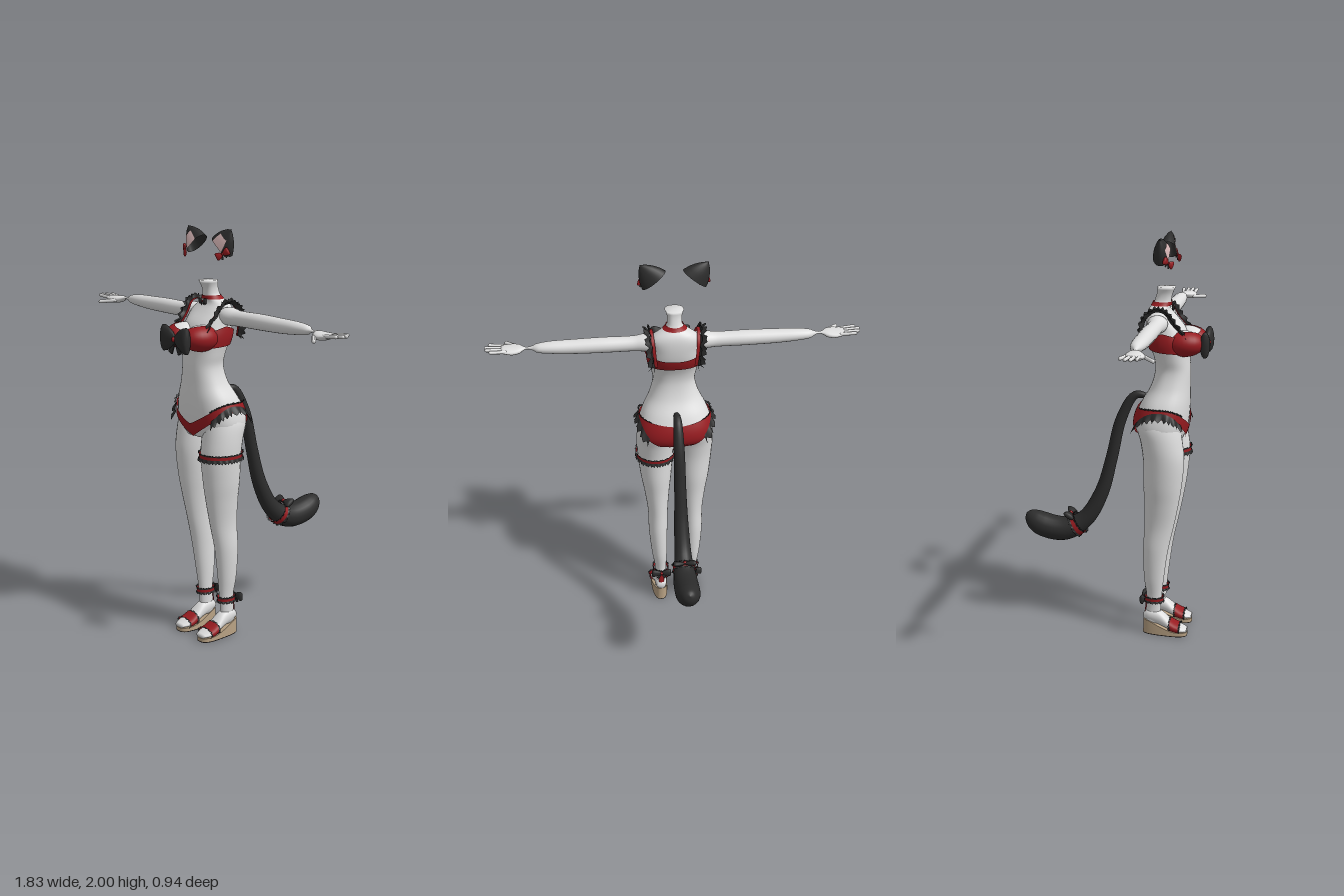
import * as THREE from 'three';
import { mergeVertices, toCreasedNormals } from 'three/addons/utils/BufferGeometryUtils.js';

const V = (x, y, z) => new THREE.Vector3(x, y, z);
const TAU = Math.PI * 2;

// Surface from a rule f(u, v), both 0..1; front is along du x dv
function patch(f, n, m) {
  const pos = [], idx = [];
  for (let j = 0; j <= m; j++) for (let i = 0; i <= n; i++) pos.push(...f(i / n, j / m).toArray());
  for (let j = 0; j < m; j++) for (let i = 0; i < n; i++) {
    const a = j * (n + 1) + i, b = a + 1, c = a + n + 1, d = c + 1;
    idx.push(a, b, d, a, d, c);
  }
  let g = new THREE.BufferGeometry();
  g.setAttribute('position', new THREE.Float32BufferAttribute(pos, 3));
  g.setIndex(idx);
  g = mergeVertices(g, 1e-5);
  g.computeVertexNormals();
  return g;
}

// Smooth interpolation of rows keyed by their first column
function at(rows, y) {
  let i = 0;
  while (i < rows.length - 2 && y > rows[i + 1][0]) i++;
  const p = rows[i], q = rows[i + 1], o = rows[i - 1] ?? p, r = rows[i + 2] ?? q;
  const h = q[0] - p[0], t = THREE.MathUtils.clamp((y - p[0]) / h, 0, 1), t2 = t * t, t3 = t2 * t;
  return p.map((_, k) => {
    const m0 = (q[k] - o[k]) / (q[0] - o[0]) * h, m1 = (r[k] - p[k]) / (r[0] - p[0]) * h;
    return p[k] * (2 * t3 - 3 * t2 + 1) + m0 * (t3 - 2 * t2 + t) + q[k] * (3 * t2 - 2 * t3) + m1 * (t3 - t2);
  });
}

// Point on a limb with rows [y, centreX, halfWidth, zBack, zFront]; angle 0 is the front
const bend = (s, e) => Math.sign(s) * Math.abs(s) ** e;
function surf(rows, a, y, off = 0, e = 1, scale = 1) {
  const [, cx, rx, zb, zf] = at(rows, y);
  return V(cx + scale * (rx + off) * bend(Math.sin(a), e), y,
    (zb + zf) / 2 + scale * ((zf - zb) / 2 + off) * bend(Math.cos(a), e));
}
function loft(rows, e = 1, n = 28, m = 42) {
  const y0 = rows[0][0], y1 = rows.at(-1)[0];
  return patch((u, v) => {
    const t = THREE.MathUtils.clamp((v * m - 1) / (m - 2), 0, 1);
    return surf(rows, u * TAU, y0 + (y1 - y0) * t, 0, e, v === 0 || v === 1 ? 0 : 1);
  }, n, m);
}
const band = (rows, lo, hi, off, e = 1) =>
  patch((u, v) => surf(rows, u * TAU, lo + (hi - lo) * v, off, e), 36, 2);

// Wavy strip along pt(t), growing along dir(t) and rippling along nrm(t)
const frill = (pt, dir, nrm, width, waves, amp) => patch((u, v) => {
  const w = Math.sin(u * TAU * waves);
  return pt(u).addScaledVector(dir(u), width * v * (0.85 + 0.2 * Math.cos(2 * u * TAU * waves)))
    .addScaledVector(nrm(u), amp * v * w);
}, waves * 8, 2);
const ringFrill = (rows, y, off, up, width, waves) => frill(t => surf(rows, t * TAU, y, off),
  t => V(0.25 * Math.sin(t * TAU), up, 0.25 * Math.cos(t * TAU)),
  t => V(Math.sin(t * TAU), 0, Math.cos(t * TAU)), width, waves, 0.003);

const TORSO = [[1.02, 0, .14, .17, .34], [1.06, 0, .183, .115, .355], [1.12, 0, .188, .105, .365], [1.2, 0, .165, .135, .37],
  [1.28, 0, .125, .18, .37], [1.36, 0, .105, .2, .37], [1.42, 0, .115, .195, .365], [1.5, 0, .13, .165, .36],
  [1.56, 0, .125, .155, .34], [1.62, 0, .122, .155, .29], [1.655, 0, .085, .165, .265], [1.68, 0, .043, .185, .27],
  [1.72, 0, .035, .2, .275], [1.745, 0, .04, .205, .285], [1.76, 0, .046, .205, .292]];
const LEG = [[.06, .083, .03, .17, .25], [.12, .083, .026, .175, .25], [.2, .083, .03, .178, .255], [.3, .088, .04, .165, .265],
  [.45, .093, .049, .16, .285], [.58, .092, .053, .165, .312], [.7, .095, .066, .165, .335], [.8, .098, .08, .16, .35],
  [.93, .1, .092, .158, .36], [1.02, .1, .096, .145, .35], [1.1, .1, .09, .125, .335], [1.16, .095, .07, .15, .32]];
const ARM = [[.09, 0, .035, .185, .27], [.13, 0, .043, .177, .275], [.2, .003, .037, .187, .265], [.35, .002, .037, .185, .265],
  [.5, .002, .034, .187, .263], [.6, 0, .029, .19, .26], [.665, 0, .021, .2, .25], [.685, 0, .011, .215, .242],
  [.7, 0, .006, .222, .237], [.725, 0, .007, .22, .24], [.745, .006, .016, .205, .27], [.78, .01, .019, .196, .287],
  [.815, .007, .014, .197, .28], [.835, .004, .009, .2, .275]];
const FOOT = [[.165, .083, .02, -.11, -.075], [.19, .083, .03, -.13, -.065], [.25, .084, .035, -.12, -.045],
  [.31, .086, .043, -.07, -.025], [.35, .086, .045, -.052, -.02], [.385, .086, .03, -.038, -.02]];
const LOBE = [[0, 0, .16, -.08, .08], [.4, 0, .42, -.2, .2], [.85, 0, .56, -.24, .24], [1, 0, .48, -.14, .14]];
const TAIL = new THREE.CatmullRomCurve3([[1.215, .17], [1.22, .1], [1.1, .03], [.89, -.02], [.71, -.07], [.56, -.155],
  [.497, -.26], [.51, -.38], [.565, -.468]].map(([y, z]) => V(0, y, z)));
const TAIL_R = [[0, .012], [.12, .02], [.25, .027], [.4, .031], [.5, .036], [.63, .045], [.75, .06], [.87, .063],
  [.93, .055], [.97, .038], [.99, .021], [1, 0]];

export function createModel() {
  const mat = (name, color, side = THREE.DoubleSide) => new THREE.MeshStandardMaterial({ name, color, side });
  const skin = mat('pale skin', 0xdedede, THREE.FrontSide), black = mat('black cloth', 0x2c2c2c);
  const red = mat('red cloth', 0x971b20), pink = mat('inner ear pink', 0xd9b8b8);
  const tan = mat('tan wedge', 0xb9a284), sole = mat('dark sole', 0x2e2622);
  const root = new THREE.Group();
  root.name = 'figure';
  const add = (parent, name, geo, m) => {
    const mesh = new THREE.Mesh(geo, m);
    mesh.name = name;
    parent.add(mesh);
    return mesh;
  };
  const bow = (parent, name, x, y, z, size, { tall = 1, tails = true, knot = .16, cloth = black } = {}) => {
    const g = new THREE.Group();
    g.name = name;
    g.position.set(x, y, z);
    for (const s of [1, -1]) {
      const lobe = add(g, 'bowLobe', loft(LOBE, 1, 14, 14), cloth);
      lobe.rotation.z = -s * Math.PI / 2;
      lobe.scale.set(size * tall, size, size);
      if (!tails) continue;
      const end = add(g, 'bowTail', new THREE.BoxGeometry(size * .28, size * .6, size * .06), black);
      end.position.set(s * size * .25, -size * .4, 0);
      end.rotation.z = s * .4;
    }
    add(g, 'bowKnot', new THREE.SphereGeometry(size * knot, 12, 8), red).position.z = size * .07;
    parent.add(g);
    return g;
  };

  // Torso, choker
  add(root, 'torso', loft(TORSO, .85, 40, 64), skin);
  add(root, 'choker', band(TORSO, 1.672, 1.69, .006), red);
  bow(root, 'chokerBow', 0, 1.663, .283, .026);

  // Bikini top
  add(root, 'topBand', patch((u, v) => {
    const c = Math.cos(u * TAU), lo = 1.452 + .015 * (1 - c) / 2, hi = c > 0 ? 1.555 - .035 * c : 1.555 + .035 * c;
    return surf(TORSO, u * TAU, lo + (hi - lo) * v, .008, .85);
  }, 48, 4), red);
  bow(root, 'chestBow', 0, 1.498, .447, .1, { tall: 1.15, knot: .12 });

  // Bikini bottom, cut high at the hips
  const hipEdge = (a, k) => {
    const s = Math.abs(Math.sin(a)), front = Math.cos(a) > 0;
    const hi = front ? 1.085 + .105 * s : 1.17 + .02 * s, lo = 1.02 + .13 * s ** (front ? 1 : 1.5);
    return lo + (hi - lo) * k;
  };
  add(root, 'bikiniBottom', patch((u, v) => surf(TORSO, u * TAU, hipEdge(u * TAU, v), .008, .85), 80, 8), red);
  const out = a => V(Math.sin(a), 0, Math.cos(a));

  for (const s of [1, -1]) {
    const half = new THREE.Group();
    half.name = s > 0 ? 'leftSide' : 'rightSide';
    half.scale.x = s;
    root.add(half);

    // Hip frills: a wide one over the side and a narrow trim on the upper edge
    const hipA = t => .7 + t * 1.75;
    const hipPt = (t, k) => surf(TORSO, hipA(t), hipEdge(hipA(t), k), .011, .85);
    add(half, 'hipFrill', frill(t => hipPt(t, .1 + .65 * Math.sin(hipA(t)) ** 4),
      t => out(hipA(t)).multiplyScalar(.5).add(V(0, -.85, 0)), t => out(hipA(t)), .045, 6, .007), black);
    add(half, 'hipTrim', frill(t => hipPt(t, 1),
      t => out(hipA(t)).multiplyScalar(.4).add(V(0, .7, 0)), t => out(hipA(t)), .014, 10, .004), black);

    // Bust and cup, the cup opening up and inward
    add(half, 'bust', new THREE.SphereGeometry(1, 24, 18).scale(.068, .06, .086).translate(.066, 1.503, .345), skin);
    const open = new THREE.Quaternion().setFromUnitVectors(V(0, 1, 0), V(-.42, .88, -.1).normalize());
    add(half, 'cup', new THREE.SphereGeometry(1, 28, 18, 0, TAU, .8, Math.PI - .8).applyQuaternion(open)
      .scale(.077, .064, .096).translate(.066, 1.502, .347), red);

    // Shoulder strap: narrow red edge inside, black frills outside
    const strap = new THREE.CatmullRomCurve3([[.105, 1.54, .345], [.113, 1.6, .29], [.122, 1.648, .255], [.122, 1.655, .215],
      [.118, 1.62, .172], [.112, 1.56, .156], [.105, 1.5, .158]].map(p => V(...p)));
    const away = t => { const p = strap.getPoint(t); return V(0, p.y - 1.57, p.z - .23).normalize(); };
    add(half, 'strap', patch((u, v) => strap.getPoint(u).add(V((v - 1) * .016, 0, 0)).addScaledVector(away(u), .005), 30, 1), red);
    for (const [x, lean, w] of [[0, .15, .032], [.002, .8, .036]]) add(half, 'strapFrill',
      frill(t => strap.getPoint(t).add(V(x, 0, 0)), t => away(t).multiplyScalar(1 - lean * .5).add(V(lean, 0, 0)),
        () => V(1, 0, 0), w, 8, .006), black);

    // Arm with palm, fingers and thumb
    const arm = add(half, 'arm', loft(ARM, 1, 24, 60), skin);
    arm.rotation.z = -Math.PI / 2;
    arm.position.y = 1.6;
    const digit = (name, a, b, r) => {
      const d = b.clone().sub(a), m = add(half, name, new THREE.CapsuleGeometry(r, d.length(), 4, 10), skin);
      m.position.copy(a).addScaledVector(d, .5);
      m.quaternion.setFromUnitVectors(V(0, 1, 0), d.normalize());
    };
    [.885, .905, .908, .89].forEach((x, i) =>
      digit('finger', V(.815, 1.596, .208 + i * .02), V(x, 1.602, .2 + i * .024), .0085));
    digit('thumb', V(.755, 1.587, .272), V(.812, 1.58, .325), .0095);

    // Leg, foot and ankle cuff
    add(half, 'leg', loft(LEG, 1, 28, 60), skin);
    const foot = add(half, 'foot', loft(FOOT, .9, 24, 30), skin);
    foot.rotation.x = Math.PI / 2;
    add(half, 'ankleCuff', band(LEG, .177, .195, .01), red);
    add(half, 'cuffFrillTop', ringFrill(LEG, .193, .011, 1, .012, 12), black);
    add(half, 'cuffFrillBottom', ringFrill(LEG, .18, .011, -1, .012, 12), black);
    bow(half, 'ankleBow', .083, .19, .16, .052, { tall: .8 }).rotation.y = Math.PI;

    // Wedge sandal
    const top = z => at([[.16, .078], [.2, .07], [.27, .04], [.32, .024], [.39, .02]], z)[1];
    const slab = (lo, hi, grow) => toCreasedNormals(patch((u, v) => {
      const a = u * TAU, k = [0, 1, 1, 0][Math.round(v * 3)], c = bend(Math.cos(a), .7);
      const z = .275 + (.113 + grow) * c * k;
      return V(.085 + (.043 + .007 * c + grow) * bend(Math.sin(a), .7) * k, v < .5 ? lo : hi(z), z);
    }, 36, 3), .6);
    add(half, 'sole', slab(0, () => .004, 0), sole);
    add(half, 'wedge', slab(.004, top, 0), tan);
    const toe = add(half, 'toeStrap', band(FOOT, .302, .348, .006, .9), red);
    toe.rotation.x = Math.PI / 2;
    for (const [z, k] of [[.304, -1], [.346, 1]]) {
      const trim = add(half, 'toeFrill', ringFrill(FOOT, z, .007, k, .009, 12), black);
      trim.rotation.x = Math.PI / 2;
    }
    add(half, 'heelStrap', patch((u, v) => surf(LEG, Math.PI + (u - .5) * .9, .07 + .11 * v, .005), 6, 6), red);

    // Cat ear: curved black shell with a narrow pink front, and a red bow
    const ear = new THREE.Group();
    ear.name = 'ear';
    ear.position.set(.097, 1.922, .24);
    ear.rotation.z = -.67;
    ear.scale.z = .6;
    half.add(ear);
    const profile = [[.071, 0], [.06, .03], [.044, .058], [.023, .084], [0, .104]].map(p => new THREE.Vector2(...p));
    add(ear, 'earBack', new THREE.LatheGeometry(profile, 22, .6, TAU - 1.2), black);
    add(ear, 'earInner', new THREE.LatheGeometry(profile.slice(0, 4), 1, -.6, 1.2), pink);
    add(ear, 'earTip', new THREE.LatheGeometry(profile.slice(2).map(p => p.clone().multiplyScalar(1.01)), 6, -.62, 1.24), black);
    bow(half, 'earBow', .143, 1.892, .277, .034, { cloth: red }).rotation.set(0, .6, .5);
  }

  // Garter on the left thigh
  add(root, 'garter', band(LEG, .92, .945, .006), red);
  add(root, 'garterFrillTop', ringFrill(LEG, .942, .008, 1, .01, 22), black);
  add(root, 'garterFrillBottom', ringFrill(LEG, .928, .008, -1, .019, 22), black);

  // Tail with a frilled band and bow
  const tailDir = (a, t) => {
    const n = TAIL.getTangent(t).cross(V(1, 0, 0)).normalize();
    return V(Math.cos(a), 0, 0).addScaledVector(n, Math.sin(a));
  };
  const tailPt = (a, t, off = 0) => TAIL.getPoint(t).addScaledVector(tailDir(a, t), Math.max(0, at(TAIL_R, t)[1]) + off);
  add(root, 'tail', patch((u, v) => tailPt(u * TAU, 1 - (1 - v) ** 1.5), 20, 70), black);
  add(root, 'tailBand', patch((u, v) => tailPt(u * TAU, .668 + .024 * v, .005), 28, 2), red);
  for (const [t, k] of [[.67, -1], [.69, 1]]) add(root, 'tailFrill', frill(u => tailPt(u * TAU, t, .006),
    u => TAIL.getTangent(t).multiplyScalar(k).addScaledVector(tailDir(u * TAU, t), .4),
    u => tailDir(u * TAU, t), .012, 14, .003), black);
  bow(root, 'tailBow', 0, .58, -.235, .058, { tall: .9, tails: false }).rotation.x = -1;
  return root;
}
